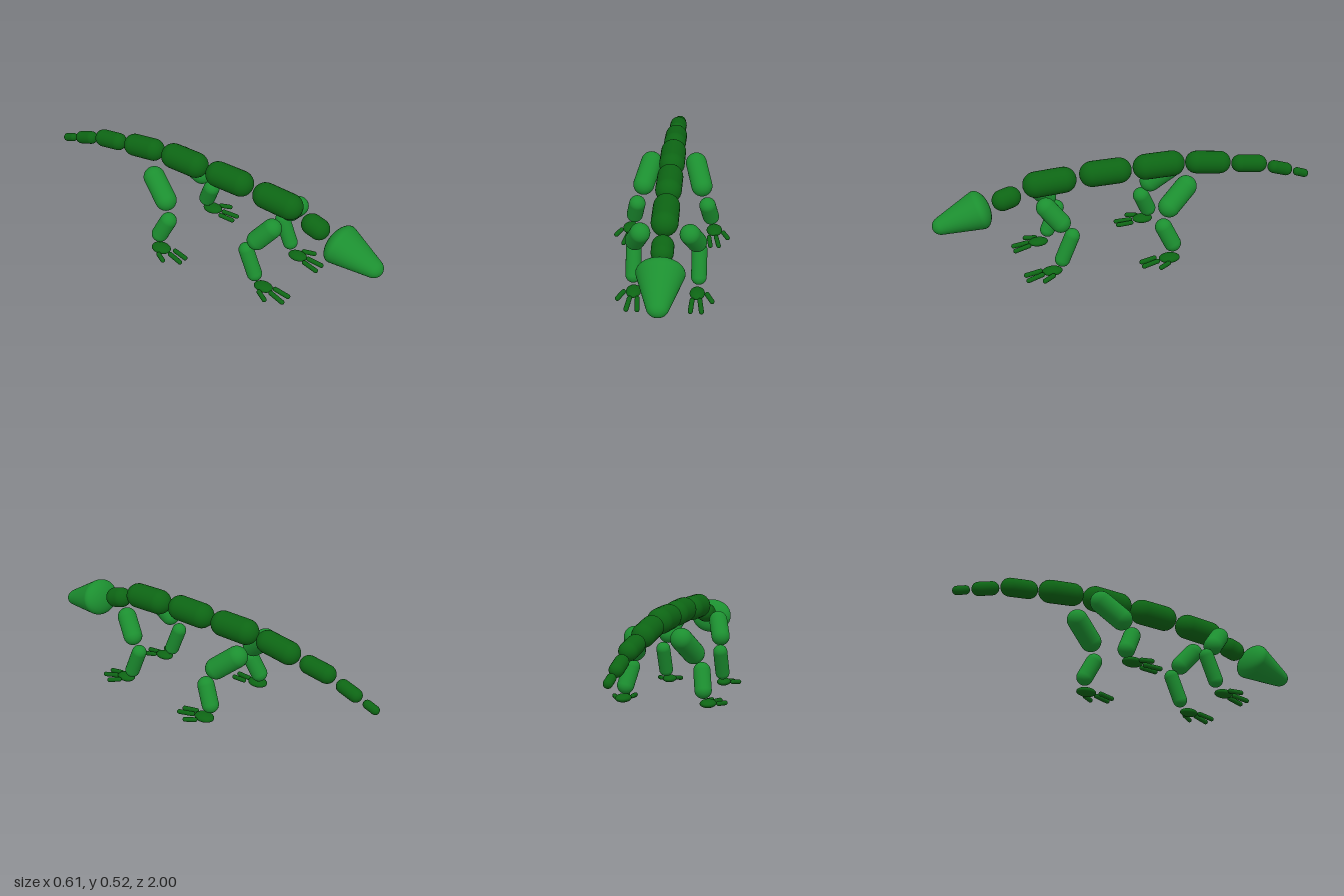
import * as THREE from 'three';

const light = new THREE.MeshStandardMaterial({ color: 0x1c8f30 });
const dark = new THREE.MeshStandardMaterial({ color: 0x0d6514 });
const UP = new THREE.Vector3(0, 1, 0);

// Capsule whose end-sphere centres sit at a and b
function capsule(name, a, b, r, material) {
  const p = new THREE.Vector3(...a), q = new THREE.Vector3(...b);
  const dir = q.clone().sub(p);
  const mesh = new THREE.Mesh(new THREE.CapsuleGeometry(r, dir.length(), 10, 28), material);
  mesh.position.copy(p).add(q).multiplyScalar(0.5);
  mesh.quaternion.setFromUnitVectors(UP, dir.normalize());
  mesh.name = name;
  return mesh;
}

// Tapered head: blunt elliptical back, straight flanks, round snout
function makeHead() {
  const points = [], rad = THREE.MathUtils.degToRad;
  for (let i = 0; i <= 14; i++) {
    const t = rad(-90 + (100 * i) / 14);
    points.push(new THREE.Vector2(0.112 * Math.cos(t), 0.057 * Math.sin(t)));
  }
  for (let i = 0; i <= 10; i++) {
    const t = rad(17 + (73 * i) / 10);
    points.push(new THREE.Vector2(0.052 * Math.cos(t), 0.189 + 0.051 * Math.sin(t)));
  }
  points[0].x = points[points.length - 1].x = 0;
  const head = new THREE.Mesh(new THREE.LatheGeometry(points, 40), light);
  head.scale.z = 0.84;
  head.rotation.x = rad(107);
  head.position.set(0, 0.35, 0.768);
  head.name = 'head';
  return head;
}

// Spine pieces from neck to tail tip: name, front z/y, back z/y, radius
const SPINE = [
  ['neck', 0.647, 0.385, 0.608, 0.396, 0.053],
  ['chest', 0.479, 0.445, 0.338, 0.451, 0.065],
  ['belly', 0.19, 0.462, 0.052, 0.462, 0.065],
  ['hips', -0.089, 0.462, -0.23, 0.462, 0.065],
  ['tailBase', -0.363, 0.45, -0.489, 0.432, 0.058],
  ['tailMiddle', -0.606, 0.409, -0.707, 0.394, 0.046],
  ['tailEnd', -0.8, 0.362, -0.869, 0.339, 0.034],
  ['tailTip', -0.936, 0.315, -0.978, 0.3, 0.022],
];

// Legs on the +x side; each bone is [start, end, radius]
const LEGS = {
  front: {
    upper: [[0.118, 0.373, 0.457], [0.148, 0.295, 0.393], 0.049],
    lower: [[0.16, 0.22, 0.341], [0.16, 0.097, 0.393], 0.038],
    foot: [[0.155, 0.036, 0.445], [0.037, 0.02, 0.051]],
    toes: [
      [[0.132, 0.031, 0.5], [0.127, 0.016, 0.572], 0.012],
      [[0.17, 0.031, 0.5], [0.18, 0.016, 0.572], 0.012],
      [[0.203, 0.036, 0.452], [0.228, 0.028, 0.5], 0.012],
    ],
  },
  hind: {
    upper: [[0.118, 0.383, -0.264], [0.152, 0.3, -0.165], 0.055],
    lower: [[0.184, 0.206, -0.126], [0.202, 0.117, -0.168], 0.043],
    foot: [[0.222, 0.047, -0.146], [0.041, 0.021, 0.054]],
    toes: [
      [[0.196, 0.043, -0.075], [0.205, 0.035, -0.005], 0.012],
      [[0.233, 0.043, -0.08], [0.248, 0.035, -0.005], 0.012],
      [[0.27, 0.044, -0.125], [0.293, 0.04, -0.08], 0.012],
    ],
  },
};

// side is +1 for left, -1 for right
function makeLeg(name, { upper, lower, foot, toes }, side) {
  const leg = new THREE.Group();
  leg.name = name;
  const flip = ([x, y, z]) => [side * x, y, z];
  const bone = (part, [a, b, r], material) => leg.add(capsule(part, flip(a), flip(b), r, material));
  bone('upperLeg', upper, light);
  bone('lowerLeg', lower, light);
  const pad = new THREE.Mesh(new THREE.SphereGeometry(1, 28, 18), dark);
  pad.position.set(...flip(foot[0]));
  pad.scale.set(...foot[1]);
  pad.name = 'foot';
  leg.add(pad);
  toes.forEach((toe, i) => bone(`toe${i + 1}`, toe, dark));
  return leg;
}

export function createModel() {
  const model = new THREE.Group();
  model.name = 'lizard';
  model.add(makeHead());
  for (const [name, z1, y1, z2, y2, r] of SPINE) {
    model.add(capsule(name, [0, y1, z1], [0, y2, z2], r, dark));
  }
  for (const [end, spec] of Object.entries(LEGS)) {
    model.add(makeLeg(`${end}LeftLeg`, spec, 1), makeLeg(`${end}RightLeg`, spec, -1));
  }
  return model;
}
